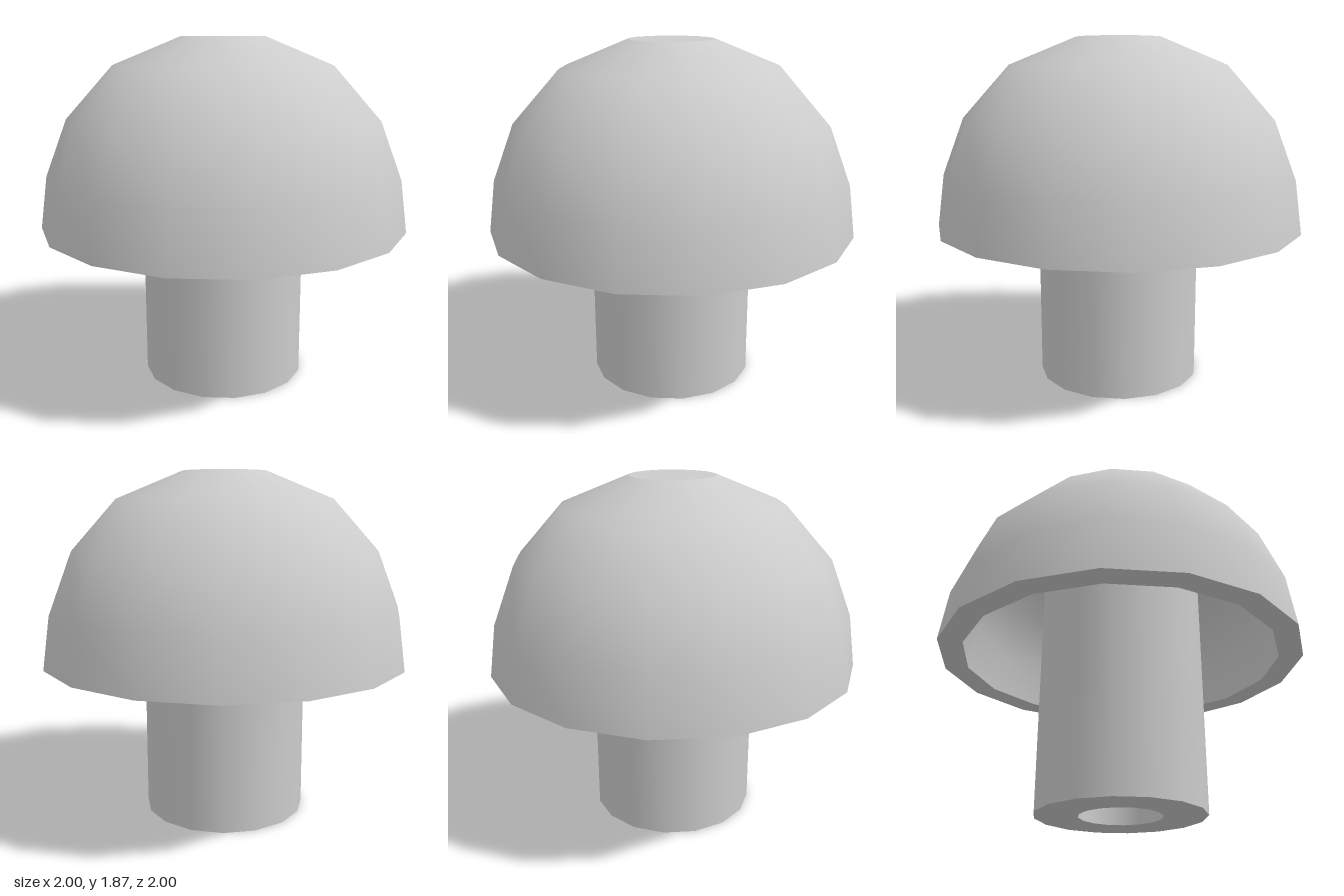
import * as THREE from 'three';

const SIDES = 16;

export function createModel() {
  const group = new THREE.Group();
  const grey = new THREE.MeshStandardMaterial({ color: 0xcccccc });
  grey.name = 'plain grey';

  // Each smooth band is its own lathe, so edges between bands stay sharp.
  // Profiles run upward for outward faces, downward for inward faces,
  // inward for upward faces and outward for downward faces.
  const band = (name, parent, profile) => {
    const points = profile.map(([r, y]) => new THREE.Vector2(r, y));
    const mesh = new THREE.Mesh(new THREE.LatheGeometry(points, SIDES), grey);
    mesh.name = name;
    parent.add(mesh);
  };

  // Domed cap: a thick shell with a flat crown
  const cap = new THREE.Group();
  cap.name = 'cap';
  const base = 0.857;
  const wall = 0.868;
  const outer = [[1, base], [0.96, 1.14], [0.842, 1.445], [0.59, 1.725], [0.23, 1.872]];
  const inner = outer.map(([r, y]) => [r * wall, base + (y - base) * wall]).reverse();
  const crown = outer[outer.length - 1];
  band('capOuter', cap, outer);
  band('capCrown', cap, [crown, [0, crown[1]]]);
  band('capInner', cap, inner);
  band('capRim', cap, [[wall, base], [1, base]]);

  // Hollow stem reaching up into the cap
  const stem = new THREE.Group();
  stem.name = 'stem';
  const radius = 0.446, bore = 0.218, top = 1.66, boreTop = 1.738;
  band('stemOuter', stem, [[radius, 0], [radius, top]]);
  band('stemBore', stem, [[bore, boreTop], [bore, 0]]);
  band('stemBoreEnd', stem, [[0, boreTop], [bore, boreTop]]);
  band('stemFoot', stem, [[bore, 0], [radius, 0]]);

  group.add(cap, stem);
  return group;
}
